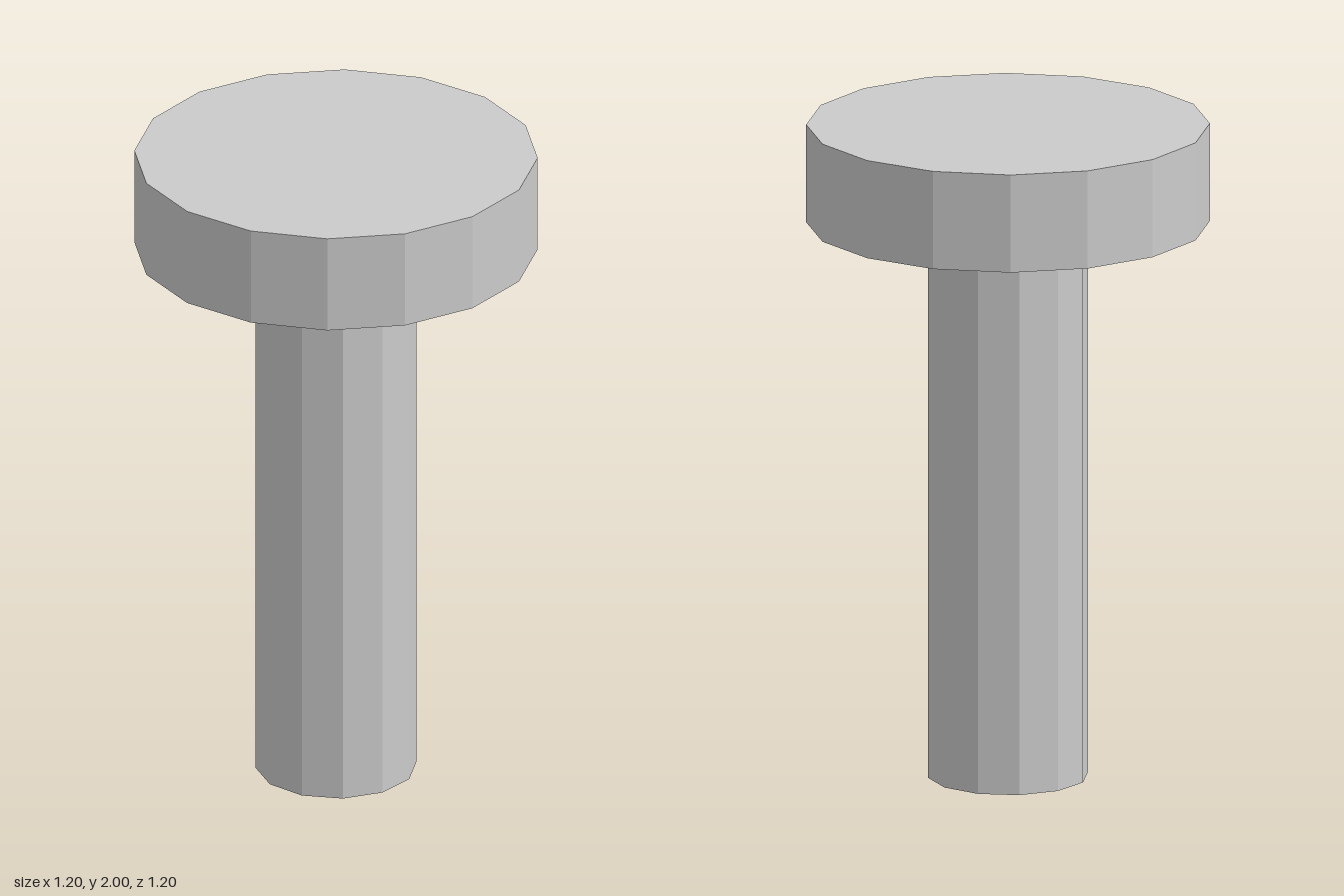
import * as THREE from 'three';

export function createModel() {
  const group = new THREE.Group();
  const material = new THREE.MeshStandardMaterial({ color: 0xcccccc, flatShading: true });

  // Upright faceted cylinder between two heights
  const addCylinder = (name, radius, bottom, top, sides) => {
    const height = top - bottom;
    const mesh = new THREE.Mesh(new THREE.CylinderGeometry(radius, radius, height, sides), material);
    mesh.name = name;
    mesh.position.y = bottom + height / 2;
    group.add(mesh);
  };

  addCylinder('shaft', 0.24, 0, 1.7, 12);
  addCylinder('head', 0.6, 1.7, 2, 16);

  return group;
}
